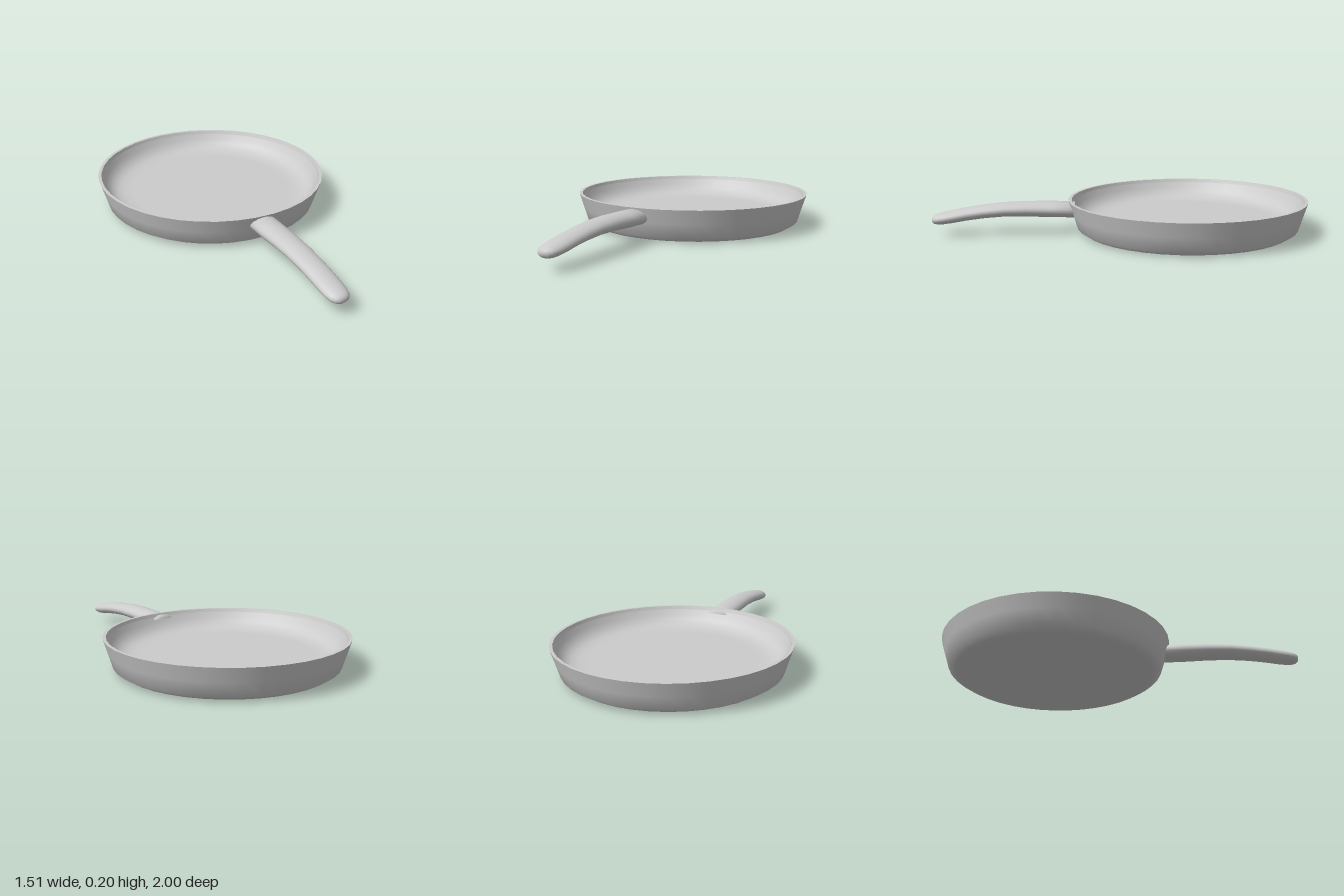
import * as THREE from 'three';

const material = new THREE.MeshStandardMaterial({ color: 0xcccccc });

function addMesh(parent, name, geometry) {
  const mesh = new THREE.Mesh(geometry, material);
  mesh.name = name;
  parent.add(mesh);
  return mesh;
}

// Turned surface from [radius, y] pairs
function turned(points) {
  return new THREE.LatheGeometry(points.map(([r, y]) => new THREE.Vector2(r, y)), 40);
}

// Elliptical rings [z, y, halfWidth, halfHeight] skinned along +z, capped at both ends
function skinRings(rings, sides = 20) {
  const positions = [], index = [];
  for (const [z, y, w, h] of rings) {
    for (let i = 0; i < sides; i++) {
      const a = (i / sides) * Math.PI * 2;
      positions.push(Math.cos(a) * w, y + Math.sin(a) * h, z);
    }
  }
  for (let k = 0; k < rings.length - 1; k++) {
    for (let i = 0; i < sides; i++) {
      const j = (i + 1) % sides;
      const a = k * sides + i, b = k * sides + j;
      index.push(a, b, b + sides, a, b + sides, a + sides);
    }
  }
  const last = rings.length - 1;
  const start = positions.length / 3, end = start + 1;
  positions.push(0, rings[0][1], rings[0][0], 0, rings[last][1], rings[last][0] + 0.002);
  for (let i = 0; i < sides; i++) {
    const j = (i + 1) % sides;
    index.push(start, j, i, end, last * sides + i, last * sides + j);
  }
  const geometry = new THREE.BufferGeometry();
  geometry.setAttribute('position', new THREE.Float32BufferAttribute(positions, 3));
  geometry.setIndex(index);
  geometry.computeVertexNormals();
  return geometry;
}

export function createModel() {
  const model = new THREE.Group();
  model.name = 'fryingPan';

  // Round pan, split where its edges are sharp
  const pan = new THREE.Group();
  pan.name = 'pan';
  addMesh(pan, 'outerWall', turned([
    [0, 0], [0.58, 0], [0.612, 0.003], [0.655, 0.03], [0.681, 0.113], [0.707, 0.196],
  ]));
  addMesh(pan, 'rim', turned([[0.707, 0.196], [0.688, 0.196]]));
  addMesh(pan, 'rimStep', turned([[0.688, 0.196], [0.681, 0.177]]));
  addMesh(pan, 'bowl', turned([
    [0.681, 0.177], [0.664, 0.145], [0.645, 0.118], [0.62, 0.097], [0.59, 0.084], [0.55, 0.077], [0.5, 0.075], [0, 0.075],
  ]));
  model.add(pan);

  // Handle, drooping to a rounded tip
  const handle = addMesh(model, 'handle', skinRings([
    [0.67, 0.14, 0.081, 0.046],
    [0.8, 0.144, 0.079, 0.047],
    [0.95, 0.149, 0.076, 0.044],
    [1.08, 0.148, 0.074, 0.041],
    [1.2, 0.138, 0.071, 0.039],
    [1.3, 0.125, 0.07, 0.038],
    [1.38, 0.111, 0.069, 0.037],
    [1.43, 0.103, 0.066, 0.035],
    [1.465, 0.098, 0.057, 0.031],
    [1.485, 0.096, 0.043, 0.025],
    [1.495, 0.095, 0.024, 0.015],
  ]));
  handle.rotation.y = THREE.MathUtils.degToRad(31.2);

  for (const part of model.children) part.position.set(-0.05, 0, -0.293);
  return model;
}
